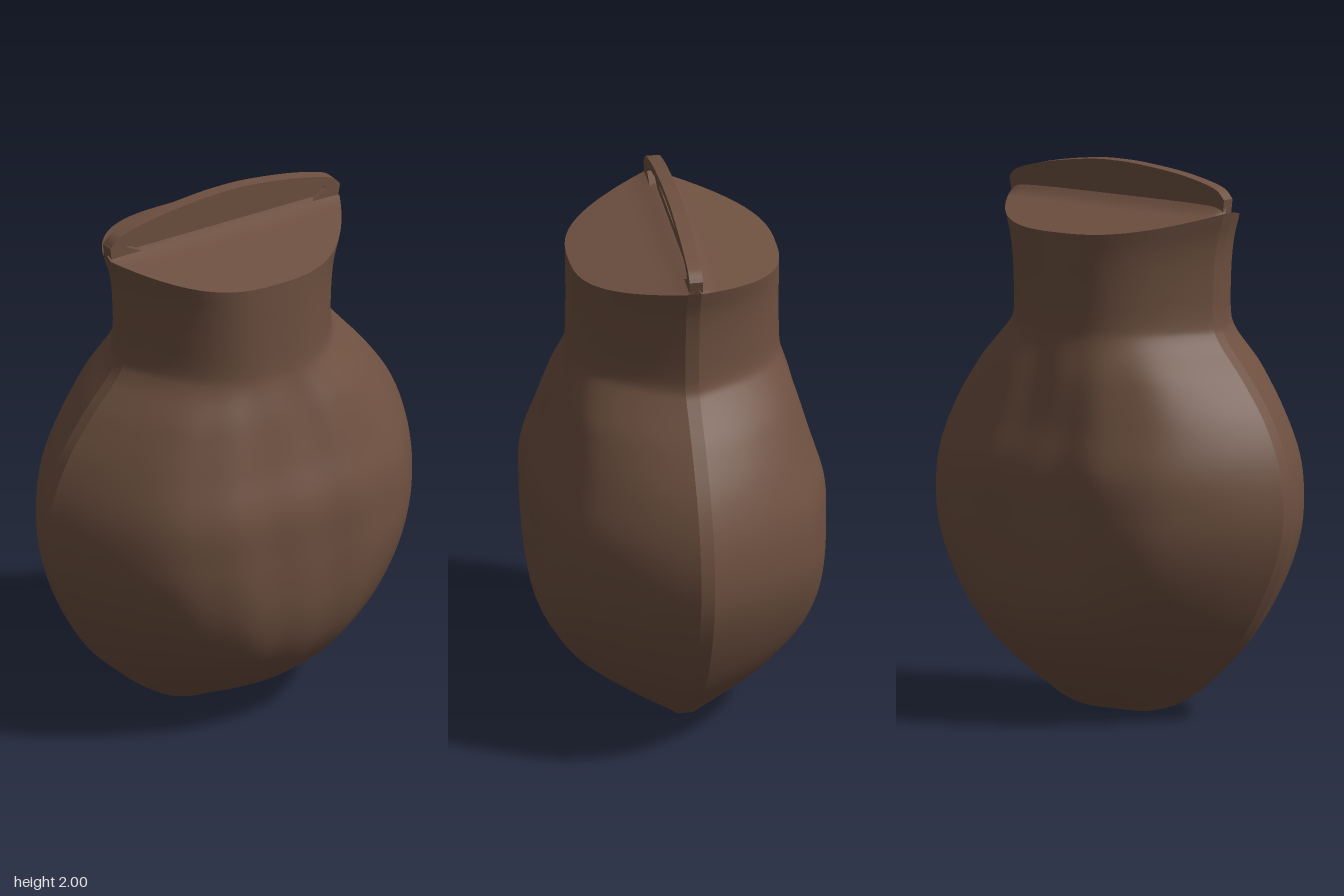
import * as THREE from 'three';

const SEAM = 0.025;   // half thickness of the flat seam between the two halves
const EQUATOR = 0.75; // height of the widest point; below it the bulge is a rounded dish
const { smoothstep, lerp } = THREE.MathUtils;

// side profile: half width, height, half depth (the dish rounds off the lower depth)
const profile = new THREE.CatmullRomCurve3([
  [0, 0, 0.53], [0.14, 0.004, 0.53], [0.24, 0.03, 0.53], [0.36, 0.1, 0.53], [0.48, 0.2, 0.53],
  [0.55, 0.27, 0.53], [0.64, 0.4, 0.53], [0.735, 0.6, 0.53], [0.768, 0.75, 0.53], [0.755, 0.92, 0.525],
  [0.69, 1.09, 0.475], [0.58, 1.25, 0.43], [0.465, 1.385, 0.39], [0.44, 1.43, 0.383], [0.437, 1.58, 0.38],
  [0.455, 1.74, 0.38], [0.49, 1.85, 0.38],
].map(p => new THREE.Vector3(...p)), false, 'centripetal');

const rimHeight = z => 1.855 - 0.2 * Math.abs(z);

// point on the front half; u runs from right to left, v from bottom to top
function surfacePoint(u, v) {
  const { x: width, y: h, z: depth } = profile.getPoint(v);
  const s = 2 * u - 1;
  const neck = smoothstep(h, 1.25, 1.45);
  const drop = THREE.MathUtils.clamp((EQUATOR - h) / EQUATOR, 0, 1);
  const r = Math.min(1, Math.hypot(s * Math.sqrt(1 - drop * drop), drop));
  const bulge = 1 - r ** lerp(3.4, 2.7, neck);
  const lumps = 0.003 * bulge * (1 - neck) * (Math.sin(19 * s + 2 * h) + Math.sin(11 * s - 7 * h));
  const z = SEAM + (depth - SEAM) * bulge + lumps;
  const x = s * width - 0.01 * smoothstep(h, 1.35, 1.45);
  const y = h < 1.5 ? h : 1.5 + (h - 1.5) * (rimHeight(z) - 1.5) / 0.35;
  return [x, y, z];
}

// sloping shoulder from the rim in to the fin, with a fillet of the given rise
const shoulder = rise => (u, v) => {
  const [x, , z0] = surfacePoint(u, 1);
  const z = lerp(z0, 0, v);
  return [x, rimHeight(z) + rise * v * Math.exp(-((z / 0.05) ** 2)), z];
};

// grid surface from a point rule
function grid(point, cols, rows) {
  const pos = [], index = [];
  for (let j = 0; j <= rows; j++) {
    for (let i = 0; i <= cols; i++) {
      pos.push(...point(i / cols, j / rows));
      if (i < cols && j < rows) {
        const a = j * (cols + 1) + i, b = a + cols + 1;
        index.push(a, a + 1, b + 1, a, b + 1, b);
      }
    }
  }
  const geo = new THREE.BufferGeometry();
  geo.setAttribute('position', new THREE.Float32BufferAttribute(pos, 3));
  geo.setIndex(index);
  geo.computeVertexNormals();
  return geo;
}

// same rule on the back half
const toBack = rule => (u, v) => {
  const [x, y, z] = rule(1 - u, v);
  return [x, y, -z];
};

export function createModel() {
  const group = new THREE.Group();
  const clay = new THREE.MeshStandardMaterial({ color: 0x6e5040 });
  clay.name = 'brown clay';
  const add = (name, geo) => {
    const mesh = new THREE.Mesh(geo, clay);
    mesh.name = name;
    group.add(mesh);
    return mesh;
  };

  // two bulging halves and their sloping tops
  add('frontHalf', grid(surfacePoint, 72, 100));
  add('backHalf', grid(toBack(surfacePoint), 72, 100));
  add('frontShoulder', grid(shoulder(0.01), 72, 24));
  add('backShoulder', grid(toBack(shoulder(0.045)), 72, 24));

  // flat seam strip down both sides and under the base
  for (const side of [1, -1]) {
    add(side > 0 ? 'leftSeam' : 'rightSeam', grid((u, v) => {
      const [x, y] = surfacePoint(side > 0 ? 1 : 0, v);
      return [x, y, side * SEAM * (1 - 2 * u)];
    }, 1, 100));
  }

  // upright fin across the mouth
  const outline = new THREE.Shape();
  outline.moveTo(-0.49, 1.82);
  outline.lineTo(0.47, 1.82);
  outline.lineTo(0.485, 1.9);
  outline.splineThru([[0.44, 1.935], [0.3, 1.97], [0.12, 1.995], [0, 2], [-0.12, 1.995], [-0.3, 1.975],
    [-0.45, 1.94], [-0.5, 1.9]].map(p => new THREE.Vector2(...p)));
  outline.closePath();
  const extrude = (shape, depth) => new THREE.ExtrudeGeometry(shape, { depth, bevelEnabled: false, curveSegments: 48 });
  add('mouthFin', extrude(outline, 0.025)).position.z = -0.03;

  // raised lip framing the shallow mouth on the front
  const lip = outline.clone();
  const mouth = new THREE.Path();
  mouth.moveTo(-0.43, 1.89);
  mouth.splineThru([[-0.38, 1.925], [-0.2, 1.96], [0, 1.975], [0.2, 1.96], [0.38, 1.925], [0.43, 1.89]]
    .map(p => new THREE.Vector2(...p)));
  mouth.lineTo(0.36, 1.855);
  mouth.lineTo(-0.36, 1.855);
  mouth.closePath();
  lip.holes.push(mouth);
  add('mouthLip', extrude(lip, 0.025)).position.z = -0.005;

  return group;
}
